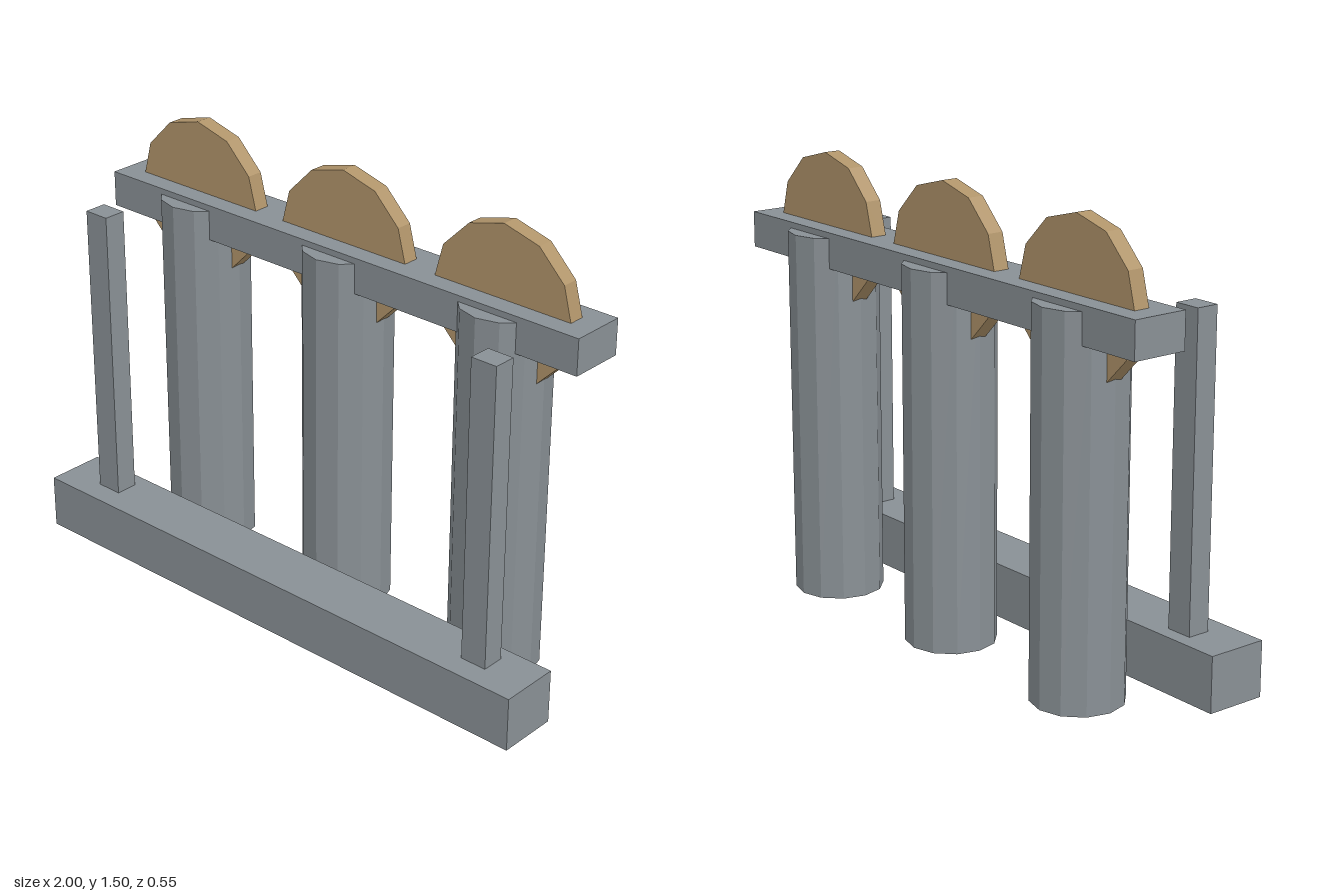
import * as THREE from 'three';

export function createModel() {
  const group = new THREE.Group();
  const steel = new THREE.MeshStandardMaterial({ color: 0x899095, flatShading: true });
  steel.name = 'grey steel';
  const wood = new THREE.MeshStandardMaterial({ color: 0xb0946a, flatShading: true });
  wood.name = 'tan';

  const add = (name, geometry, material, x, y, z) => {
    const mesh = new THREE.Mesh(geometry, material);
    mesh.name = name;
    mesh.position.set(x, y, z);
    group.add(mesh);
    return mesh;
  };

  const rowZ = -0.127;

  // Three columns, each with an upright disc set into its top
  const columnGeo = new THREE.CylinderGeometry(0.15, 0.15, 1.24, 12);
  const discGeo = new THREE.CylinderGeometry(0.26, 0.26, 0.055, 12).rotateX(Math.PI / 2);
  for (const x of [-0.627, 0, 0.627]) {
    add('column', columnGeo, steel, x, 0.62, rowZ);
    add('disc', discGeo, wood, x, 1.24, rowZ);
  }

  // Beam joining the column tops
  add('topBeam', new THREE.BoxGeometry(1.92, 0.12, 0.19), steel, 0, 1.2, rowZ);

  // Low front rail with a post near each end
  add('frontRail', new THREE.BoxGeometry(2, 0.183, 0.205), steel, 0, 0.112, 0.175);
  const postGeo = new THREE.BoxGeometry(0.092, 1.1, 0.077);
  for (const side of [-1, 1]) add('post', postGeo, steel, side * 0.802, 0.67, 0.161);

  return group;
}
